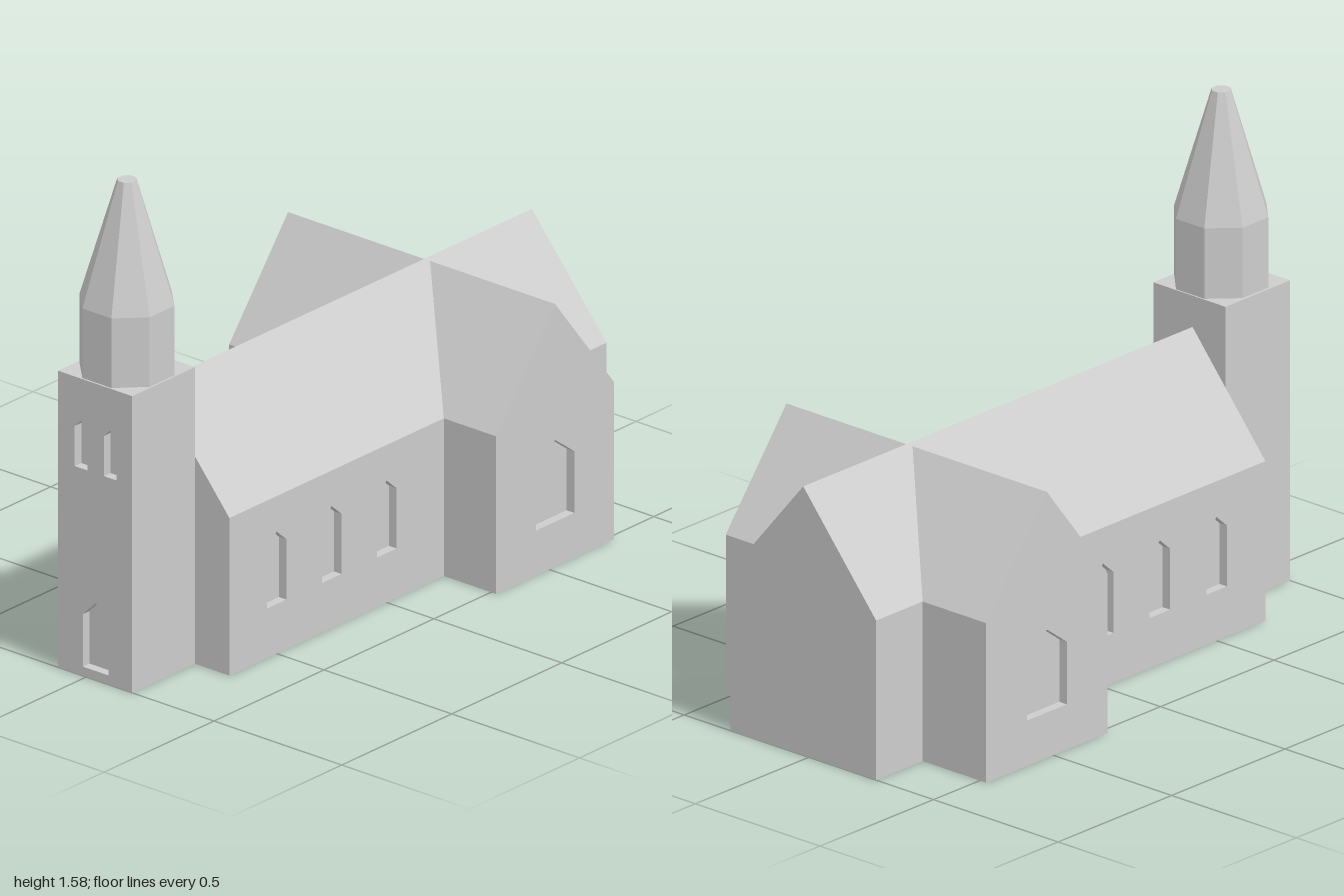
import * as THREE from 'three';

const RECESS = 0.03; // depth of every window and door niche
const EAVE = 0.51;

export function createModel() {
  const church = new THREE.Group();
  church.name = 'church';
  const stone = new THREE.MeshStandardMaterial({ color: 0xcccccc });
  stone.name = 'pale grey stone';

  const add = (name, geometry, x = 0, y = 0, z = 0) => {
    const mesh = new THREE.Mesh(geometry, stone);
    mesh.name = name;
    mesh.position.set(x, y, z);
    church.add(mesh);
    return mesh;
  };
  const polygon = (points) => new THREE.Shape(points.map(([x, y]) => new THREE.Vector2(x, y)));
  const extrude = (shape, depth) => new THREE.ExtrudeGeometry(shape, { depth, bevelEnabled: false });

  // Outline with upright sides and a pointed top
  const pointed = (cx, width, bottom, shoulder, peak) => polygon([
    [cx - width / 2, bottom], [cx + width / 2, bottom], [cx + width / 2, shoulder],
    [cx, peak], [cx - width / 2, shoulder],
  ]);
  // Wall layer pierced by openings
  const panel = (outline, openings) => {
    outline.holes.push(...openings);
    return extrude(outline, RECESS);
  };
  const rectangle = (x0, x1, y1) => polygon([[x0, 0], [x1, 0], [x1, y1], [x0, y1]]);

  // Nave: core under an overhanging roof, with window walls filling the sides
  const naveWest = -0.715, naveEast = 1, naveZ = 0.0225, naveHalf = 0.2925;
  const inner = naveHalf - RECESS;
  const naveCore = extrude(polygon([
    [-inner, 0], [inner, 0], [inner, EAVE], [naveHalf, EAVE],
    [0, 0.86], [-naveHalf, EAVE], [-inner, EAVE],
  ]), naveEast - naveWest);
  naveCore.rotateY(Math.PI / 2);
  add('naveAndRoof', naveCore, naveWest, 0, naveZ);
  for (const side of [1, -1]) {
    const windows = [-0.5, -0.25, 0].map((x) => pointed(x, 0.09, 0.16, 0.355, 0.395));
    add(side > 0 ? 'naveFrontWall' : 'naveBackWall',
      panel(rectangle(naveWest, naveEast, EAVE), windows),
      0, 0, side > 0 ? naveZ + inner : naveZ - naveHalf);
  }

  // Transept: gabled cross wing with a wide window at each end
  const transX = 0.5275, transWidth = 0.535, transBack = -0.525, transFront = 0.52;
  const gable = () => pointed(0, transWidth, 0, EAVE, 0.85);
  add('transeptAndRoof', extrude(gable(), transFront - transBack - 2 * RECESS),
    transX, 0, transBack + RECESS);
  for (const [name, z] of [['transeptFrontGable', transFront - RECESS], ['transeptBackGable', transBack]]) {
    add(name, panel(gable(), [pointed(0, 0.175, 0.145, 0.345, 0.41)]), transX, 0, z);
  }

  // Tower: square shaft with a door and twin windows in its west wall
  const towerWest = -1, towerBack = -0.11, towerFront = 0.18, towerHeight = 0.96;
  const shaftWest = towerWest + RECESS;
  add('towerShaft',
    new THREE.BoxGeometry(naveWest - shaftWest, towerHeight, towerFront - towerBack),
    (shaftWest + naveWest) / 2, towerHeight / 2, (towerBack + towerFront) / 2);
  const westWall = panel(rectangle(towerBack, towerFront, towerHeight), [
    pointed(0.037, 0.1, 0.03, 0.2, 0.25),
    pointed(-0.02, 0.05, 0.67, 0.8, 0.825),
    pointed(0.094, 0.05, 0.67, 0.8, 0.825),
  ]);
  westWall.rotateY(-Math.PI / 2);
  add('towerWestWall', westWall, shaftWest);

  // Belfry and spire: eight-sided, flats facing the axes
  const octagon = (halfTop, halfBottom, height, openBottom) => {
    const k = 1 / Math.cos(Math.PI / 8);
    const g = new THREE.CylinderGeometry(halfTop * k, halfBottom * k, height, 8, 1)
      .rotateY(Math.PI / 8).toNonIndexed();
    g.computeVertexNormals();
    return g;
  };
  add('belfry', octagon(0.137, 0.137, 0.225), -0.857, 1.0725, 0.0365);
  add('spire', octagon(0.028, 0.137, 0.39), -0.857, 1.38, 0.0365);

  return church;
}
